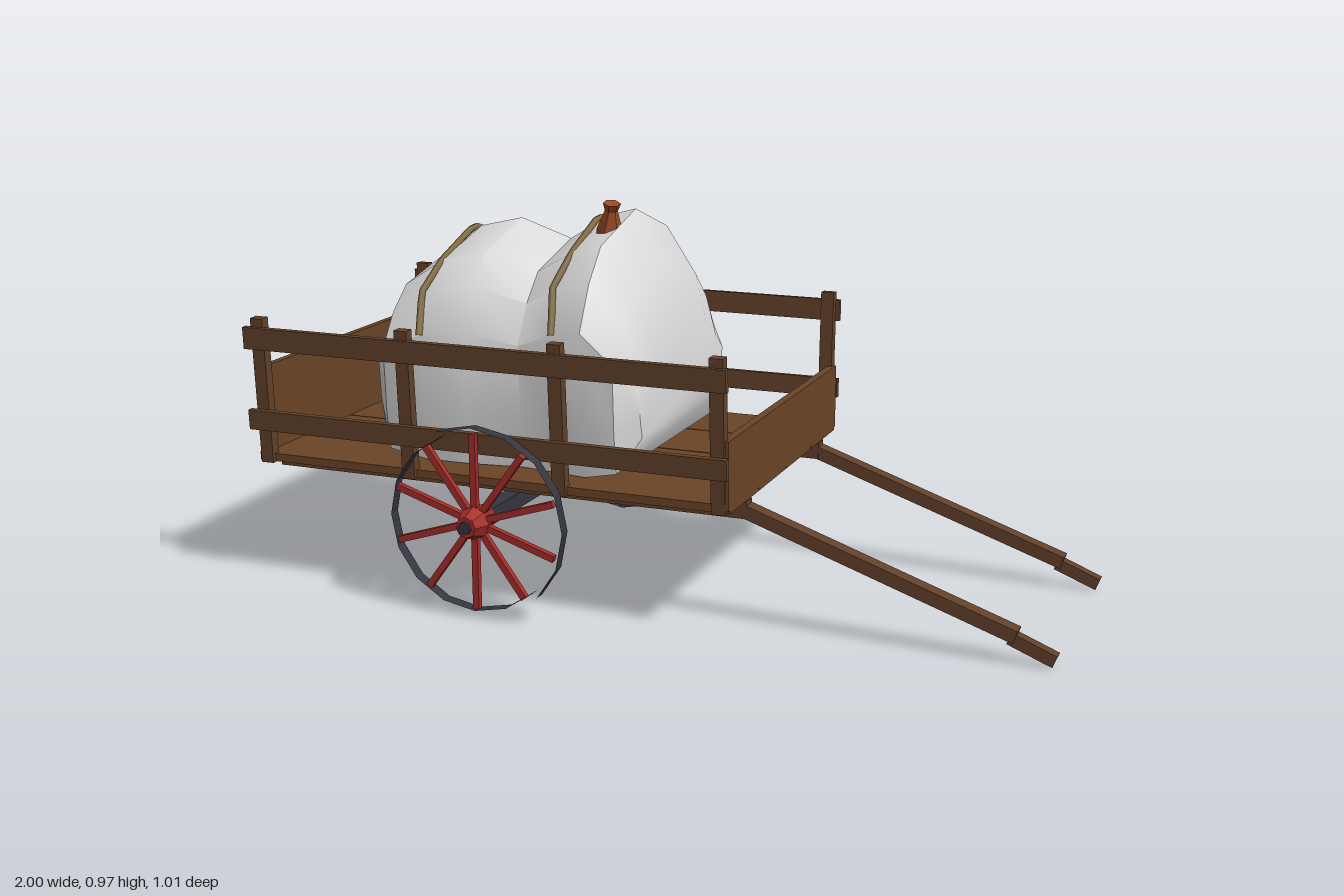
import * as THREE from 'three';
import { toCreasedNormals } from 'three/addons/utils/BufferGeometryUtils.js';

const mat = (name, color) => {
  const m = new THREE.MeshStandardMaterial({ color });
  m.name = name;
  return m;
};

export function createModel() {
  const wood = mat('plank wood', 0x6b4527);
  const railWood = mat('rail wood', 0x62412a);
  const iron = mat('dark iron', 0x353640);
  const red = mat('red paint', 0xa32c28);
  const cloth = mat('white cloth', 0xdedede);
  const rope = mat('tan rope', 0x857045);
  const clay = mat('orange tie', 0x9c4a22);
  const cart = new THREE.Group();
  cart.name = 'handcart';

  const add = (parent, name, geo, material, x = 0, y = 0, z = 0) => {
    const mesh = new THREE.Mesh(geo, material);
    mesh.name = name;
    mesh.position.set(x, y, z);
    parent.add(mesh);
    return mesh;
  };
  // box given by its limits on each axis
  const block = (name, material, x0, x1, y0, y1, z0, z1) =>
    add(cart, name, new THREE.BoxGeometry(x1 - x0, y1 - y0, z1 - z0), material,
      (x0 + x1) / 2, (y0 + y1) / 2, (z0 + z1) / 2);
  // bar between two points in a plane of constant z
  const bar = (name, x0, y0, x1, y1, thick, wide, z) => {
    const m = add(cart, name, new THREE.BoxGeometry(Math.hypot(x1 - x0, y1 - y0), thick, wide),
      railWood, (x0 + x1) / 2, (y0 + y1) / 2, z);
    m.rotation.z = Math.atan2(y1 - y0, x1 - x0);
  };

  // floor and end boards
  for (let i = 0; i < 4; i++) {
    const z = -0.4 + i * 0.2;
    block('floorPlank', wood, -0.99, 0.262, 0.312, 0.332, z + 0.002, z + 0.198);
  }
  block('frontBoard', wood, 0.242, 0.262, 0.32, 0.485, -0.408, 0.408);
  block('rearBoard', wood, -0.99, -0.972, 0.325, 0.55, -0.395, 0.395);

  for (const s of [1, -1]) {
    // side rails on outward leaning posts
    for (let i = 0; i < 4; i++) {
      const post = add(cart, 'railPost', new THREE.BoxGeometry(0.034, 0.37, 0.026), railWood,
        -0.963 + i * 0.4, 0.495, s * 0.405);
      post.rotation.x = s * 0.05;
    }
    for (const [y, h, z] of [[0.63, 0.055, 0.427], [0.422, 0.05, 0.42]]) {
      const rail = add(cart, 'sideRail', new THREE.BoxGeometry(1.262, h, 0.016), railWood, -0.367, y, s * z);
      rail.rotation.x = s * 0.05;
    }

    // bearer beam running into the pulling shaft and its grip
    const z = s * 0.275;
    block('bearer', railWood, -0.998, 0.265, 0.27, 0.312, z - 0.02, z + 0.02);
    bar('shaft', 0.25, 0.29, 0.905, 0.066, 0.032, 0.038, z);
    bar('shaftGrip', 0.89, 0.061, 0.995, 0.019, 0.03, 0.028, z);

    // wheel: iron tyre, ten spokes, turned hub
    const wheel = new THREE.Group();
    wheel.name = 'wheel';
    wheel.position.set(-0.365, 0.235, s * 0.446);
    wheel.rotation.x = s * Math.PI / 2;
    cart.add(wheel);
    const turned = (name, pts, n, m) => add(wheel, name,
      toCreasedNormals(new THREE.LatheGeometry(pts.map(p => new THREE.Vector2(...p)), n), 0.3), m);
    turned('tyreOutside', [[0.234, -0.016], [0.234, 0.016]], 16, iron);
    turned('tyreInside', [[0.219, 0.016], [0.219, -0.016]], 16, iron);
    turned('hub', [[0, -0.055], [0.027, -0.055], [0.04, -0.015], [0.04, 0.012], [0.026, 0.05], [0, 0.05]], 8, red);
    turned('axleCap', [[0.016, 0.045], [0.016, 0.059], [0, 0.059]], 8, iron);
    for (let i = 0; i < 10; i++) {
      const a = Math.PI / 2 + i * Math.PI / 5;
      const spoke = add(wheel, 'spoke', new THREE.BoxGeometry(0.19, 0.016, 0.016), red,
        Math.cos(a) * 0.122, 0, Math.sin(a) * 0.122);
      spoke.rotation.y = -a;
    }
  }
  block('axle', iron, -0.385, -0.345, 0.215, 0.255, -0.4, 0.4);

  // cloth bundle: sections along x as [x, bottom, top, half width]
  const sections = [
    [-0.71, 0.42, 0.66, 0.28], [-0.67, 0.35, 0.79, 0.325], [-0.56, 0.335, 0.87, 0.336],
    [-0.445, 0.335, 0.897, 0.332], [-0.31, 0.335, 0.852, 0.312], [-0.21, 0.335, 0.915, 0.328],
    [-0.135, 0.335, 0.936, 0.341], [-0.055, 0.35, 0.80, 0.335], [-0.01, 0.43, 0.64, 0.28],
  ];
  // outline as [side, height] fractions, anticlockwise seen from +x
  const outline = [
    [0.94, 0], [0.98, 0.22], [1, 0.59], [0.83, 0.77], [0.62, 0.9], [0, 1],
    [-0.6, 0.88], [-0.83, 0.72], [-1, 0.53], [-0.98, 0.2], [-0.94, 0],
  ];
  const onBundle = ([x, b, t, w], [u, v]) => [x, b + (t - b) * v, w * u];
  const pos = [], idx = [], n = outline.length;
  for (const sec of sections) for (const o of outline) pos.push(...onBundle(sec, o));
  for (let i = 0; i < sections.length - 1; i++) {
    for (let j = 0; j < n; j++) {
      const a = i * n + j, b = i * n + (j + 1) % n;
      idx.push(a, a + n, b, b, a + n, b + n);
    }
  }
  const last = (sections.length - 1) * n;
  for (let j = 1; j < n - 1; j++) {
    idx.push(0, j, j + 1);
    idx.push(last, last + j + 1, last + j);
  }
  // wind every face outward from the middle of the bundle
  const P = k => new THREE.Vector3().fromArray(pos, k * 3);
  const middle = new THREE.Vector3(-0.36, 0.6, 0);
  for (let k = 0; k < idx.length; k += 3) {
    const [a, b, c] = [P(idx[k]), P(idx[k + 1]), P(idx[k + 2])];
    const normal = b.clone().sub(a).cross(c.clone().sub(a));
    if (normal.dot(a.add(b).add(c).divideScalar(3).sub(middle)) < 0) {
      [idx[k + 1], idx[k + 2]] = [idx[k + 2], idx[k + 1]];
    }
  }
  const bundle = new THREE.BufferGeometry();
  bundle.setAttribute('position', new THREE.Float32BufferAttribute(pos, 3));
  bundle.setIndex(idx);
  add(cart, 'clothBundle', toCreasedNormals(bundle, 0.6), cloth);

  // ropes lying over the bundle
  for (const sec of [[-0.57, 0.335, 0.868, 0.337], [-0.222, 0.335, 0.911, 0.328]]) {
    const path = new THREE.CurvePath();
    const pts = outline.slice(2, 9).map((o, i) => {
      const p = new THREE.Vector3(...onBundle(sec, o));
      p.x += i % 2 ? -0.012 : 0.008;
      return p;
    });
    for (let i = 1; i < pts.length; i++) path.add(new THREE.LineCurve3(pts[i - 1], pts[i]));
    add(cart, 'rope', new THREE.TubeGeometry(path, 30, 0.009, 5), rope);
  }

  // gathered tie on top
  const tiePts = [[0, 0], [0.03, 0], [0.031, 0.018], [0.016, 0.066], [0.022, 0.085], [0, 0.08]];
  const tie = add(cart, 'bundleTie', toCreasedNormals(
    new THREE.LatheGeometry(tiePts.map(p => new THREE.Vector2(...p)), 6), 0.3), clay, -0.165, 0.882, 0.097);
  tie.rotation.set(0.2, 0, -0.2);

  return cart;
}
